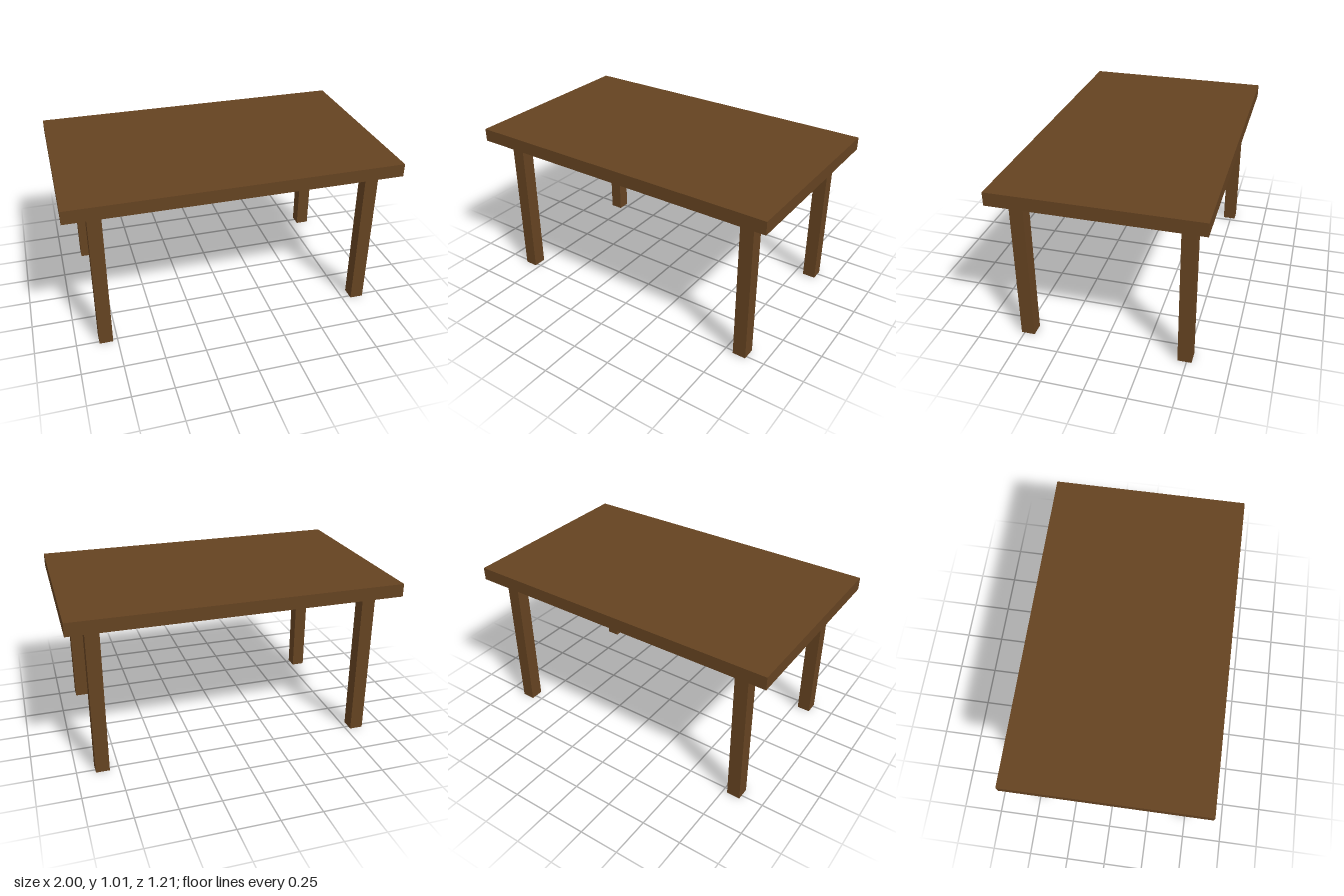
import * as THREE from 'three';

export function createModel() {
  const table = new THREE.Group();
  table.name = 'table';

  const wood = new THREE.MeshStandardMaterial({ color: 0x654321 });
  wood.name = 'dark brown wood';

  const addBox = (name, [w, h, d], [x, y, z]) => {
    const mesh = new THREE.Mesh(new THREE.BoxGeometry(w, h, d), wood);
    mesh.name = name;
    mesh.position.set(x, y, z);
    table.add(mesh);
  };

  // Table top slab
  const height = 1.013, thickness = 0.08;
  const legHeight = height - thickness;
  addBox('tableTop', [2, thickness, 1.213], [0, height - thickness / 2, 0]);

  // Four square legs, set slightly off centre under the top
  const legWidth = 0.083;
  for (const [side, x] of [['Left', 0.847], ['Right', -0.82]]) {
    for (const [end, z] of [['front', 0.477], ['back', -0.488]]) {
      addBox(`${end}${side}Leg`, [legWidth, legHeight, legWidth], [x, legHeight / 2, z]);
    }
  }

  return table;
}
